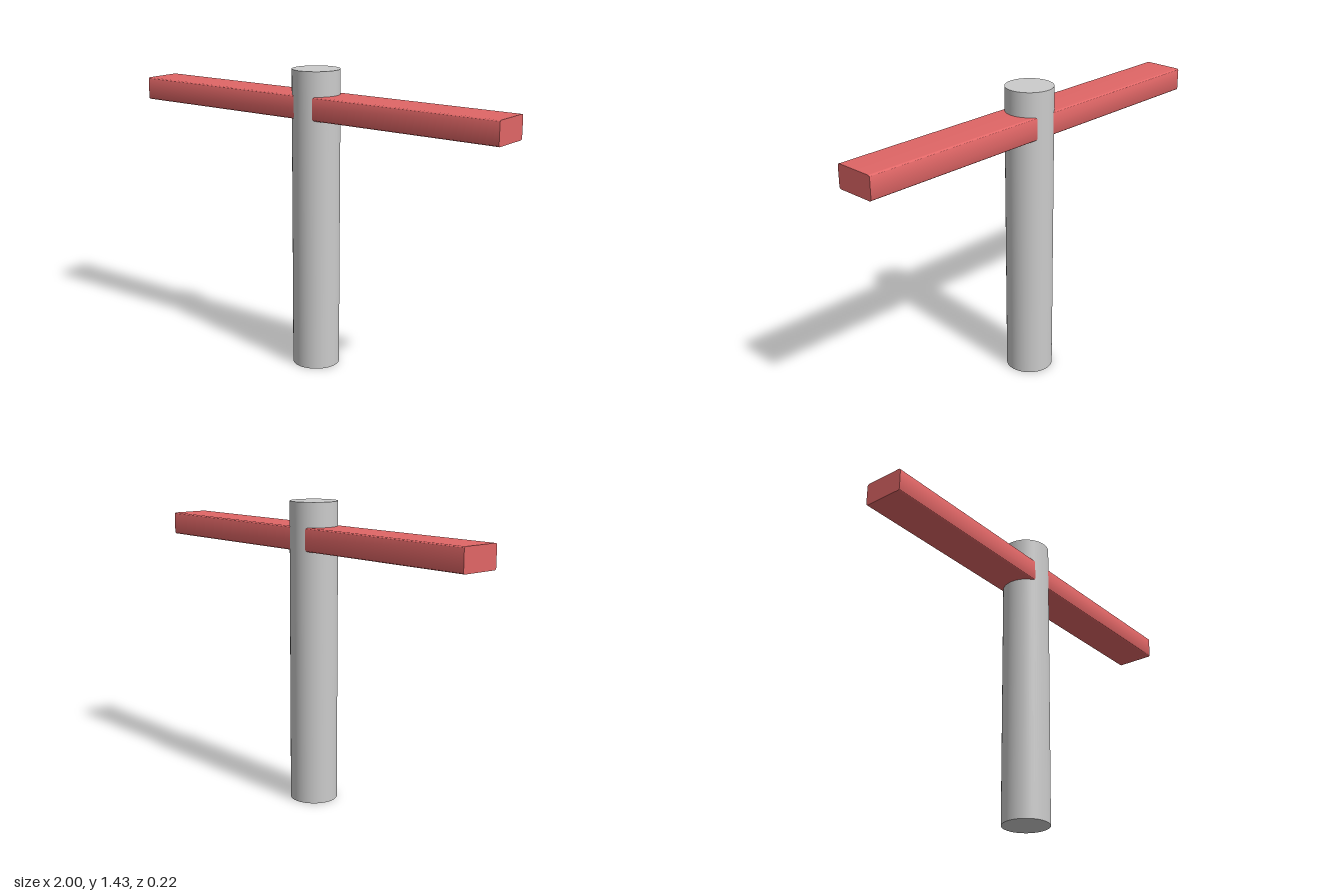
import * as THREE from 'three';
import { toCreasedNormals } from 'three/addons/utils/BufferGeometryUtils.js';

// Rectangle with rounded corners, centred on the origin
function roundedRect(w, h, r) {
  const x = w / 2 - r, y = h / 2 - r;
  const s = new THREE.Shape();
  s.absarc(x, y, r, 0, Math.PI / 2);
  s.absarc(-x, y, r, Math.PI / 2, Math.PI);
  s.absarc(-x, -y, r, Math.PI, Math.PI * 1.5);
  s.absarc(x, -y, r, Math.PI * 1.5, Math.PI * 2);
  s.closePath();
  return s;
}

export function createModel() {
  const model = new THREE.Group();
  const grey = new THREE.MeshStandardMaterial({ color: 0xcccccc });
  const red = new THREE.MeshStandardMaterial({ color: 0xe06666 });

  // Upright round post
  const height = 1.43;
  const post = new THREE.Mesh(new THREE.CylinderGeometry(0.112, 0.112, height, 64), grey);
  post.name = 'post';
  post.position.y = height / 2;
  model.add(post);

  // Crossbar through the post: softened long edges, sharp square-cut ends
  const barGeometry = new THREE.ExtrudeGeometry(roundedRect(0.197, 0.11, 0.01), {
    depth: 2, bevelEnabled: false, curveSegments: 5,
  });
  barGeometry.translate(0, 0, -1).rotateY(Math.PI / 2);
  const crossbar = new THREE.Mesh(toCreasedNormals(barGeometry, 0.6), red);
  crossbar.name = 'crossbar';
  crossbar.position.y = 1.26;
  model.add(crossbar);

  return model;
}
